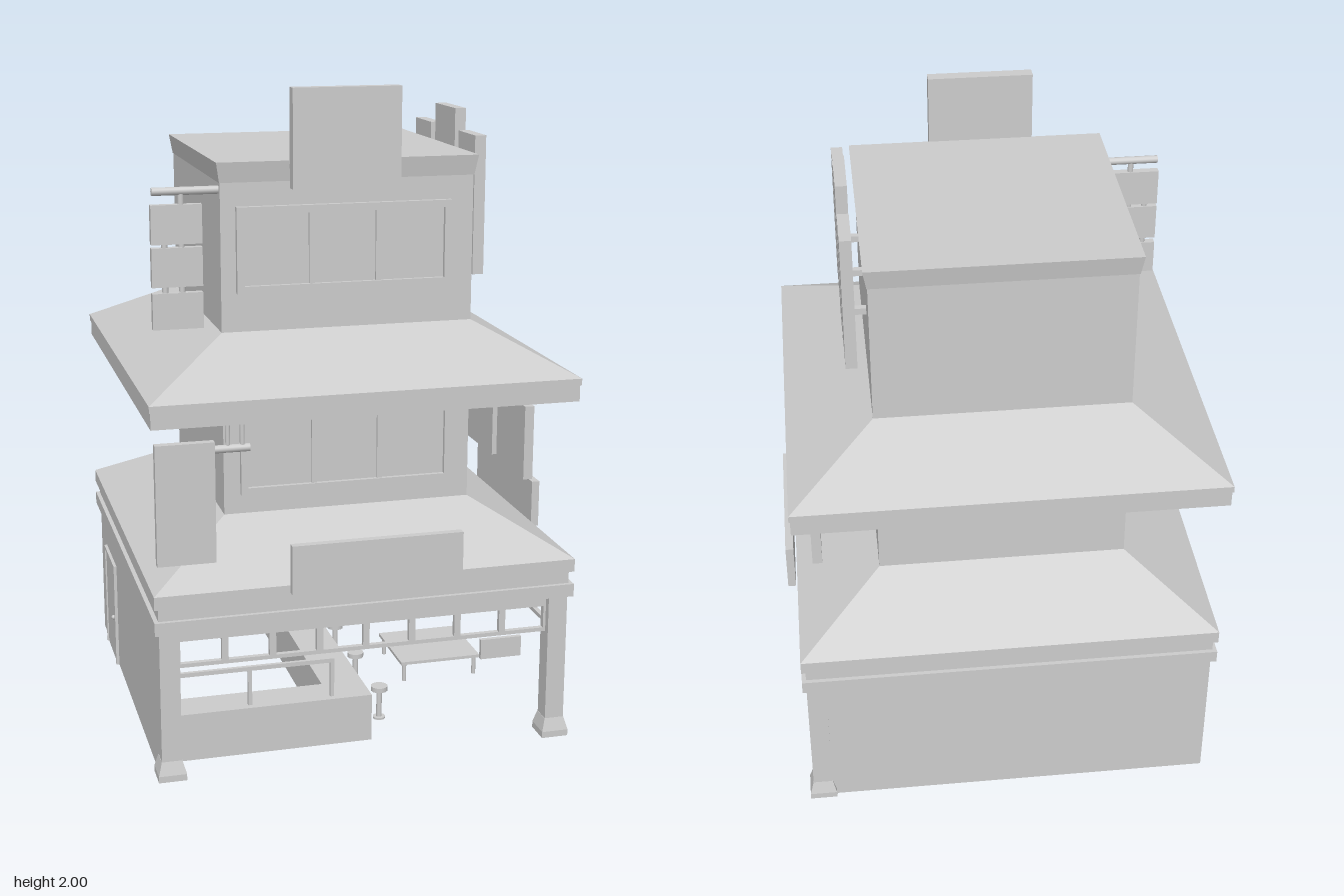
import * as THREE from 'three';

const mat = new THREE.MeshStandardMaterial({ color: 0xcccccc, flatShading: true });
const smooth = new THREE.MeshStandardMaterial({ color: 0xcccccc });
const C = -0.015; // building axis in x and z

export function createModel() {
  const root = new THREE.Group();

  const add = (name, geo, m = mat) => {
    const mesh = new THREE.Mesh(geo, m);
    mesh.name = name;
    root.add(mesh);
    return mesh;
  };
  // box from its min/max extents
  const box = (name, x0, x1, y0, y1, z0, z1) => {
    const b = add(name, new THREE.BoxGeometry(x1 - x0, y1 - y0, z1 - z0));
    b.position.set((x0 + x1) / 2, (y0 + y1) / 2, (z0 + z1) / 2);
    return b;
  };
  // square block with different half widths at bottom and top
  const block = (name, y0, y1, hb, ht = hb, x = C, z = C) => {
    const g = new THREE.CylinderGeometry(ht * Math.SQRT2, hb * Math.SQRT2, y1 - y0, 4);
    g.rotateY(Math.PI / 4);
    add(name, g).position.set(x, (y0 + y1) / 2, z);
  };
  // upright rod, and rod lying along x
  const rod = (name, x, z, y0, y1, r) =>
    add(name, new THREE.CylinderGeometry(r, r, y1 - y0, 12), smooth).position.set(x, (y0 + y1) / 2, z);
  const barX = (name, x0, x1, y, z, r) => {
    const b = add(name, new THREE.CylinderGeometry(r, r, x1 - x0, 12), smooth);
    b.rotation.z = Math.PI / 2;
    b.position.set((x0 + x1) / 2, y, z);
  };

  // upper storeys and roofs
  block('lowerBeam', 0.465, 0.505, 0.645);
  block('middleBeam', 0.505, 0.545, 0.632);
  block('lowerEave', 0.545, 0.585, 0.645);
  block('lowerRoof', 0.585, 0.73, 0.645, 0.385);
  block('middleStorey', 0.73, 1.08, 0.385);
  block('upperEaveUnderside', 1.08, 1.13, 0.642);
  block('upperEave', 1.13, 1.15, 0.646);
  block('upperRoof', 1.15, 1.29, 0.646, 0.385);
  block('topStorey', 1.29, 1.73, 0.385);
  block('roofCap', 1.73, 1.79, 0.387, 0.397);

  // front windows: raised frame with three panes
  const windowRow = (x0, x1, y0, y1) => {
    const t = 0.022, z0 = 0.36, z1 = 0.388;
    box('windowFrameTop', x0, x1, y1 - t, y1, z0, z1);
    box('windowFrameBottom', x0, x1, y0, y0 + t, z0, z1);
    box('windowFrameSide', x0, x0 + t, y0 + t, y1 - t, z0, z1);
    box('windowFrameSide', x1 - t, x1, y0 + t, y1 - t, z0, z1);
    const w = (x1 - x0 - 2 * t) / 3;
    for (let i = 1; i < 3; i++) {
      const x = x0 + t + w * i;
      box('windowMullion', x - 0.008, x + 0.008, y0 + t, y1 - t, z0, z1 - 0.006);
    }
    box('windowPane', x0 + t, x1 - t, y0 + t, y1 - t, z0, 0.374);
  };
  windowRow(-0.355, 0.3, 1.405, 1.66);
  windowRow(-0.35, 0.31, 0.79, 1.045);

  // ground floor walls, door and corner posts
  box('backWall', -0.645, 0.57, 0, 0.465, -0.645, -0.625);
  box('leftWall', -0.645, -0.625, 0, 0.465, -0.625, 0.56);
  box('door', -0.65, -0.645, 0, 0.345, -0.5, -0.29);
  box('doorFrameTop', -0.655, -0.645, 0.343, 0.355, -0.51, -0.28);
  for (const z of [-0.51, -0.292]) box('doorFrameSide', -0.655, -0.645, 0, 0.343, z, z + 0.012);
  add('doorKnob', new THREE.SphereGeometry(0.008, 12, 8), smooth).position.set(-0.655, 0.16, -0.315);
  for (const [x, z] of [[0.588, 0.58], [-0.615, 0.58], [0.588, -0.618]]) {
    block('post', 0.055, 0.465, 0.03, 0.03, x, z);
    block('postBase', 0, 0.02, 0.042, 0.042, x, z);
    block('postFoot', 0.02, 0.06, 0.042, 0.031, x, z);
  }

  // open transom lattice along the front and right sides
  const lo = -0.59, hi = 0.56;
  const slat = (a0, a1, y0, y1) => {
    box('frontLattice', a0, a1, y0, y1, 0.572, 0.588);
    box('rightLattice', 0.58, 0.596, y0, y1, a0, a1);
  };
  slat(lo, hi, 0.425, 0.465);
  slat(lo, hi, 0.343, 0.355);
  for (let i = 0; i <= 8; i++) {
    const a = lo + (hi - lo) * i / 8;
    slat(a - 0.01, a + 0.01, 0.355, 0.425);
  }
  box('frontHangingBoard', 0.35, 0.48, 0.27, 0.333, 0.573, 0.587);
  box('rightHangingBoard', 0.581, 0.595, 0.295, 0.333, -0.26, 0.26);

  // L-shaped counter with a screen frame
  box('counterFront', -0.625, 0.03, 0, 0.15, 0.38, 0.497);
  box('counterSide', -0.1, 0.03, 0, 0.15, -0.48, 0.38);
  box('screenRail', -0.625, -0.085, 0.262, 0.275, 0.465, 0.477);
  for (const x of [-0.355, -0.097]) box('screenPost', x, x + 0.012, 0.15, 0.262, 0.465, 0.477);

  // stools
  for (const z of [0.35, 0.07, -0.19]) {
    rod('stoolSeat', 0.097, z, 0.095, 0.11, 0.027);
    rod('stoolPole', 0.097, z, 0.005, 0.095, 0.009);
    rod('stoolBase', 0.097, z, 0, 0.006, 0.02);
  }

  // table
  box('tableTop', 0.245, 0.52, 0.062, 0.072, -0.155, 0.11);
  for (const x of [0.26, 0.505]) for (const z of [-0.14, 0.095]) rod('tableLeg', x, z, 0, 0.062, 0.007);

  // game cabinets: side panels around a narrower body
  const cabinet = (inset, depth) => {
    const s = new THREE.Shape([[0.6, 0], [0.512, 0], [0.505, 0.085], [0.497, 0.105], [0.53, 0.13],
      [0.525, 0.165], [0.503, 0.18], [0.508, 0.205], [0.53, 0.212], [0.6, 0.212]]
      .map(([z, y]) => new THREE.Vector2(z + (z < 0.59 ? inset : 0), y - (y > 0.2 ? inset / 2 : 0))));
    const g = new THREE.ExtrudeGeometry(s, { depth, bevelEnabled: false });
    return g.rotateY(Math.PI / 2);
  };
  for (const x of [0.308, 0.424]) {
    for (const dx of [0, 0.09]) add('cabinetSide', cabinet(0, 0.01)).position.x = x + dx;
    add('cabinetBody', cabinet(0.012, 0.08)).position.x = x + 0.01;
    box('cabinetPanel', x + 0.01, x + 0.09, 0.09, 0.102, -0.54, -0.502);
  }

  // rooftop and wall signs
  box('topSign', -0.195, 0.13, 1.71, 2, 0.38, 0.42);
  for (const [z0, z1, y0, y1] of [[0.125, 0.28, 1.41, 1.835], [-0.105, 0.09, 1.37, 1.9], [-0.31, -0.15, 1.41, 1.835]]) {
    box('verticalSign', 0.405, 0.44, y0, y1, z0, z1);
    const z = (z0 + z1) / 2;
    box('signBracket', 0.365, 0.405, 1.55, 1.57, z - 0.01, z + 0.01);
  }
  box('frontEaveSign', -0.26, 0.26, 0.565, 0.715, 0.638, 0.662);
  box('rightEaveSign', 0.635, 0.66, 0.565, 0.715, -0.27, 0.25);

  // boards hanging under the upper eave on the right
  for (const z of [0.278, -0.008, -0.298]) {
    box('hangingSign', 0.545, 0.575, 0.775, 1.01, z - 0.122, z + 0.122);
    for (const d of [-0.06, 0.06]) rod('hangingRod', 0.56, z + d, 1.01, 1.08, 0.008);
  }

  // blade sign at the front left corner
  box('bladeSign', -0.635, -0.46, 0.645, 1.01, 0.522, 0.548);
  barX('bladeSignBar', -0.47, -0.355, 0.985, 0.535, 0.012);
  for (const x of [-0.42, -0.377]) rod('bladeSignRod', x, 0.535, 0.985, 1.08, 0.007);

  // chain of three boards beside the top storey
  barX('boardBar', -0.595, -0.4, 1.708, 0.345, 0.012);
  [[1.555, 1.67], [1.43, 1.545], [1.305, 1.412]].forEach(([y0, y1]) => {
    box('smallBoard', -0.6, -0.45, y0, y1, 0.333, 0.357);
    const top = y1 > 1.6 ? 1.705 : y1 + 0.02;
    for (const x of y1 > 1.6 ? [-0.51] : [-0.56, -0.51]) rod('boardLink', x, 0.345, y1, top, 0.009);
  });

  return root;
}
